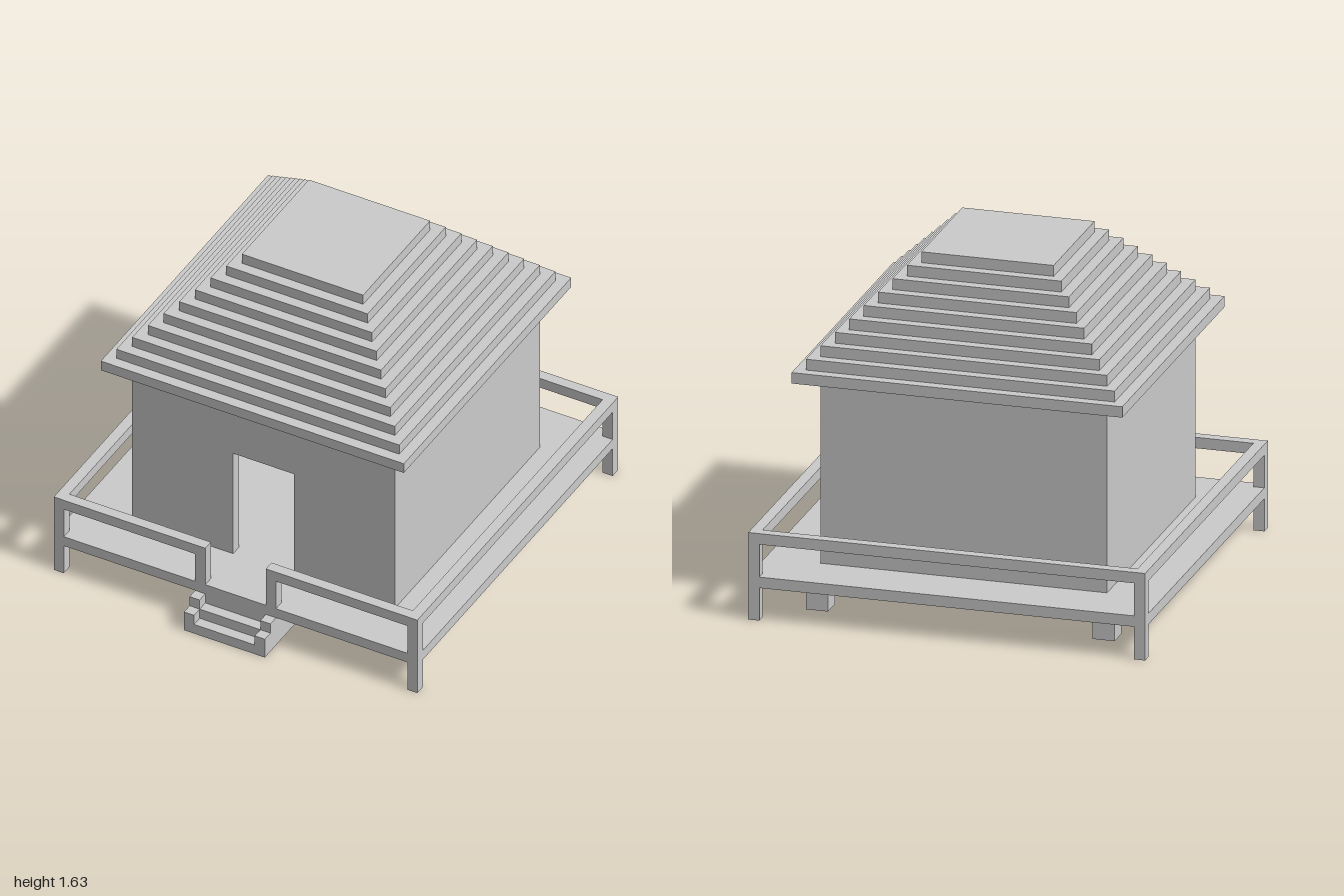
import * as THREE from 'three';

// One building block; the whole hut sits on this grid.
const U = 1 / 19;
const material = new THREE.MeshStandardMaterial({ color: 0xcccccc, flatShading: true });

// Box from its bounds in grid units.
function box(parent, name, x0, x1, y0, y1, z0, z1) {
  const geo = new THREE.BoxGeometry((x1 - x0) * U, (y1 - y0) * U, (z1 - z0) * U);
  const mesh = new THREE.Mesh(geo, material);
  mesh.position.set((x0 + x1) / 2 * U, (y0 + y1) / 2 * U, (z0 + z1) / 2 * U);
  mesh.name = name;
  parent.add(mesh);
}

// Horizontal square ring, one unit thick, between two half-widths.
function squareRing(parent, name, outer, inner, y0) {
  const square = (Type, h) => new Type([[-h, -h], [h, -h], [h, h], [-h, h]]
    .map(([x, y]) => new THREE.Vector2(x * U, y * U)));
  const shape = square(THREE.Shape, outer);
  shape.holes.push(square(THREE.Path, inner));
  const geo = new THREE.ExtrudeGeometry(shape, { depth: U, bevelEnabled: false });
  geo.rotateX(-Math.PI / 2);
  const mesh = new THREE.Mesh(geo, material);
  mesh.position.y = y0 * U;
  mesh.name = name;
  parent.add(mesh);
}

export function createModel() {
  const model = new THREE.Group();
  model.name = 'hut';

  // Everything but the stairs is square around a point one unit behind the origin.
  const hut = new THREE.Group();
  hut.name = 'raisedHut';
  hut.position.z = -U;
  model.add(hut);

  box(hut, 'deck', -18, 18, 3, 4, -18, 18);

  // Corner posts below and above the deck, and stout feet under the house.
  for (const sx of [-1, 1]) {
    for (const sz of [-1, 1]) {
      const x = 17.5 * sx, z = 17.5 * sz;
      box(hut, 'cornerPostLower', x - 0.5, x + 0.5, 0, 3, z - 0.5, z + 0.5);
      box(hut, 'cornerPostUpper', x - 0.5, x + 0.5, 4, 7, z - 0.5, z + 0.5);
      box(hut, 'foot', 13 * sx - 1, 13 * sx + 1, 0, 3, 13 * sz - 1, 13 * sz + 1);
    }
  }

  // Floor beams, side rails and front rails with a gap for the stairs.
  for (const s of [-1, 1]) {
    const b = 12.5 * s, r = 17.5 * s, f = 10.5 * s, p = 3.5 * s;
    box(hut, 'sideBeam', b - 0.5, b + 0.5, 2, 3, -12, 12);
    box(hut, 'crossBeam', -12, 12, 2, 3, b - 0.5, b + 0.5);
    box(hut, 'sideRail', r - 0.5, r + 0.5, 7, 8, -17, 17);
    box(hut, 'frontRail', f - 7.5, f + 7.5, 7, 8, 17, 18);
    box(hut, 'gatePost', p - 0.5, p + 0.5, 4, 7, 17, 18);
  }
  box(hut, 'backRail', -18, 18, 7, 8, -18, -17);

  // Hollow house: side and back walls, front wall around an open doorway.
  box(hut, 'rightWall', -13, -12, 4, 21, -12, 12);
  box(hut, 'leftWall', 12, 13, 4, 21, -12, 12);
  box(hut, 'backWall', -13, 13, 4, 21, -13, -12);
  const front = new THREE.Shape([[-13, 4], [-3, 4], [-3, 15], [3, 15], [3, 4], [13, 4], [13, 21], [-13, 21]]
    .map(([x, y]) => new THREE.Vector2(x * U, y * U)));
  const frontWall = new THREE.Mesh(
    new THREE.ExtrudeGeometry(front, { depth: U, bevelEnabled: false }), material);
  frontWall.position.z = 12 * U;
  frontWall.name = 'frontWall';
  hut.add(frontWall);

  // Stepped roof of shrinking rings, closed by a flat cap.
  for (let i = 0; i < 9; i++) squareRing(hut, 'roofTier', 15 - i, 14 - i, 21 + i);
  box(hut, 'roofCap', -6, 6, 30, 31, -6, 6);

  // Stairs: notched stringers reaching back under the deck, open treads between.
  const stairs = new THREE.Group();
  stairs.name = 'stairs';
  model.add(stairs);
  const side = new THREE.Shape([[12, 0], [19, 0], [19, 2], [18, 2], [18, 3], [12, 3]]
    .map(([z, y]) => new THREE.Vector2(z * U, y * U)));
  for (const x of [-4, 3]) {
    const geo = new THREE.ExtrudeGeometry(side, { depth: U, bevelEnabled: false });
    geo.rotateY(-Math.PI / 2);
    const stringer = new THREE.Mesh(geo, material);
    stringer.position.x = (x + 1) * U;
    stringer.name = 'stringer';
    stairs.add(stringer);
  }
  for (let i = 0; i < 3; i++) box(stairs, 'tread', -3, 3, i, i + 1, 18 - i, 19 - i);

  return model;
}
